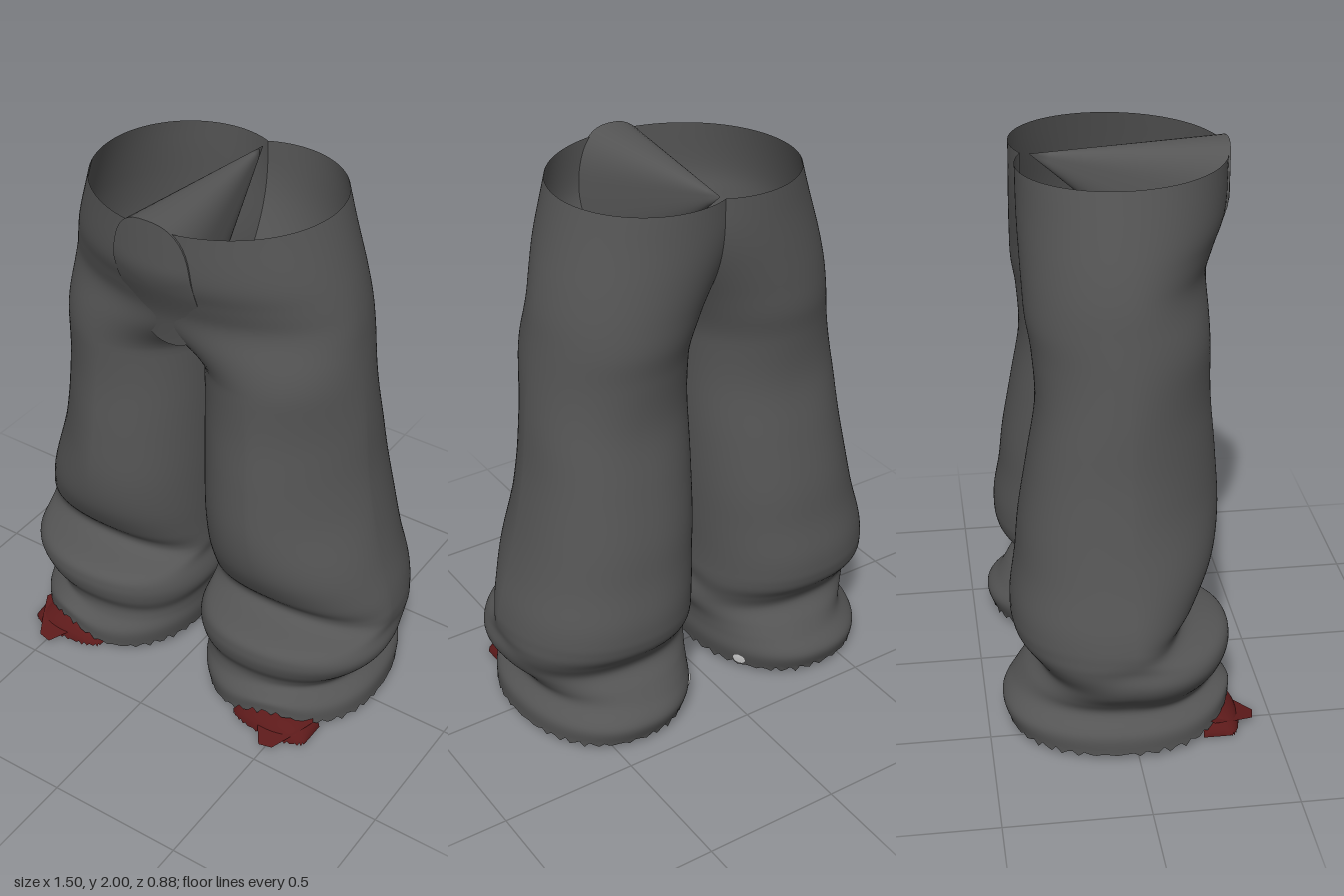
import * as THREE from 'three';
import { mergeVertices } from 'three/addons/utils/BufferGeometryUtils.js';

const cloth = new THREE.MeshStandardMaterial({ name: 'charcoal cloth', color: 0x555555, side: THREE.DoubleSide });
const red = new THREE.MeshStandardMaterial({ name: 'dark red shoe', color: 0x5c1a1a, side: THREE.DoubleSide });
const white = new THREE.MeshStandardMaterial({ name: 'off-white lining', color: 0xe4e4e4, side: THREE.DoubleSide });

// Trouser leg rows: height, inner x, outer x, front z, back z
const ROWS = [
  [1.97, 0, 0.44, 0.384, -0.34],
  [1.8, 0, 0.495, 0.376, -0.34],
  [1.7, 0, 0.525, 0.34, -0.338],
  [1.6, 0, 0.548, 0.304, -0.335],
  [1.5, 0, 0.562, 0.292, -0.33],
  [1.38, 0.004, 0.578, 0.288, -0.312],
  [1.2, 0.012, 0.60, 0.29, -0.305],
  [1.0, 0.015, 0.62, 0.305, -0.34],
  [0.8, 0.018, 0.655, 0.315, -0.375],
  [0.65, 0.022, 0.69, 0.295, -0.39],
  [0.53, 0.026, 0.725, 0.24, -0.408],
  [0.46, 0.026, 0.74, 0.19, -0.41],
  [0.42, 0.024, 0.745, 0.215, -0.405],
  [0.38, 0.022, 0.75, 0.335, -0.39],
  [0.33, 0.02, 0.75, 0.36, -0.35],
  [0.27, 0.025, 0.72, 0.35, -0.32],
  [0.21, 0.045, 0.67, 0.32, -0.365],
  [0.16, 0.05, 0.65, 0.325, -0.40],
  [0.1, 0.05, 0.70, 0.365, -0.44],
  [0.03, 0.065, 0.705, 0.365, -0.42],
];
const spline = (a, b) => new THREE.CatmullRomCurve3(
  ROWS.map((r) => new THREE.Vector3(r[a], r[b], r[0])), false, 'catmullrom', 0.5);
const widths = spline(1, 2);
const depths = spline(3, 4);

const smooth = THREE.MathUtils.smoothstep;
const lerp = THREE.MathUtils.lerp;
const signedPow = (v, e) => Math.sign(v) * Math.abs(v) ** e;

// Smooth sheet from point(u, v) -> [x, y, z]; side = -1 mirrors it across x
function sheet(nu, nv, side, point) {
  const pos = [], index = [];
  for (let j = 0; j <= nv; j++) {
    for (let i = 0; i <= nu; i++) {
      const [x, y, z] = point(i / nu, j / nv);
      pos.push(side * x, y, z);
    }
  }
  for (let j = 0; j < nv; j++) {
    for (let i = 0; i < nu; i++) {
      const a = j * (nu + 1) + i, b = a + nu + 1;
      if (side > 0) index.push(a, b, a + 1, b, b + 1, a + 1);
      else index.push(a, a + 1, b, b, a + 1, b + 1);
    }
  }
  let g = new THREE.BufferGeometry();
  g.setAttribute('position', new THREE.Float32BufferAttribute(pos, 3));
  g.setIndex(index);
  g = mergeVertices(g, 1e-4);
  g.computeVertexNormals();
  return g;
}

// An arc around one side: open at the centre seam above the crotch, a full ring below
function legPoint(t, v) {
  const w = widths.getPoint(v), d = depths.getPoint(v);
  const [inner, outer] = [w.x, w.y];
  let y = w.z;
  const zc = -0.02, isFront = t < 0.5;

  // q = 0 gives half of a waist ellipse, q = 1 a whole leg ellipse
  const q = isFront ? 1 - smooth(y, 1.36, 1.64) : lerp(1, 0.42, smooth(y, 1.38, 1.9));
  const cx = (inner + outer * q) / (1 + q);
  const b = Math.acos(-q) * (1 - 2 * t);
  const c = Math.cos(b), s = Math.sin(b);
  // Front outer corner is slack around the knee, back outer corner is full
  const leg = 1 - smooth(y, 1.1, 1.4);
  const knee = smooth(y, 0.6, 0.9) * (1 - smooth(y, 1.15, 1.5));
  const e = c > 0 ? 1 + (isFront ? 0.25 * knee : -0.12 * leg) : 1 - 0.08 * leg;
  let x = cx + (outer - cx) * signedPow(c, e);
  let z = zc + (isFront ? d.x - zc : zc - d.y) * signedPow(s, e);

  // Soft drape, then a slanted valley and ridge wrapping the ankle
  const drape = 0.01 * Math.sin(3 * b + 3.5 * y) * (1 - smooth(y, 1.0, 1.4));
  const h = y - (0.365 + 0.085 * s);
  const fold = 0.02 * Math.exp(-(((h + 0.1) / 0.05) ** 2)) - 0.04 * Math.exp(-((h / 0.045) ** 2));
  const f = 1 + drape + fold * (1 - s * s) * (s > 0 ? 1 : 1 + s);
  x = cx + (x - cx) * f;
  z = zc + (z - zc) * f;

  // Folds sag unevenly towards both sides of the shin
  if (s > 0) y -= 0.05 * s * c * c * smooth(y, 0.1, 0.25) * (1 - smooth(y, 0.5, 0.75));

  // Hem arches over the shoe and ends in a ragged edge
  if (s > 0) {
    const arch = Math.exp(-(((x - 0.46) / 0.13) ** 2)) * smooth(s, 0.3, 0.7);
    y += 0.06 * arch * (1 - smooth(y, 0.03, 0.2));
  }
  if (v === 1) y += 0.008 * Math.sin(t * 251) + 0.006 * Math.sin(t * 417);
  return [Math.max(0, x), y, z];
}

// Small round patch lying on the back of the hem
function hemPatchPoint(u, r) {
  const a = 2 * Math.PI * u;
  const [x, y, z] = legPoint(0.897 + 0.012 * r * Math.cos(a), 0.972 + 0.02 * r * Math.sin(a));
  return [x - 0.006, y, z - 0.006];
}

// Fly panel: rounded outline lying flush on the curved front
const flyZ = (x, y) => 0.278 + 0.018 * smooth(y, 1.46, 1.58) + 0.094 * smooth(y, 1.54, 1.84) - x * x;
function flyPoint(u, r) {
  const a = -2 * Math.PI * u, sn = Math.sin(a);
  const x = 0.15 * r * signedPow(Math.cos(a), 0.8);
  const y = 1.74 + r * (sn > 0 ? 0.258 * sn ** 0.7 : 0.26 * sn);
  return [x, y, flyZ(x, y)];
}
const APEX = [0, 1.965, -0.28];

// Sole outline in x and z, rising from the toe tip towards the heel
const SOLE = [[0.11, -0.13], [0.135, 0], [0.21, 0.075], [0.38, 0.1], [0.54, 0.17], [0.61, 0.28],
  [0.57, 0.36], [0.53, 0.43], [0.48, 0.44], [0.43, 0.37], [0.33, 0.3], [0.27, 0.2],
  [0.29, 0.125], [0.2, 0.1], [0.122, 0.01]];
function soleGeometry(side) {
  const shape = new THREE.Shape(SOLE.map(([x, z]) => new THREE.Vector2(side * x, z)));
  const g = new THREE.ShapeGeometry(shape).rotateX(Math.PI / 2);
  const p = g.attributes.position;
  for (let i = 0; i < p.count; i++) p.setY(i, 0.015 + 0.3 * (0.44 - p.getZ(i)));
  g.computeVertexNormals();
  return g;
}

const curve = (points) => new THREE.CatmullRomCurve3(points.map((p) => new THREE.Vector3(...p)));
const LINING_LOW = curve([[0.115, 0.07, -0.12], [0.135, 0.05, 0.01], [0.21, 0.035, 0.1], [0.32, 0.035, 0.15]]);
const LINING_HIGH = curve([[0.105, 0.25, -0.1], [0.115, 0.32, 0.06], [0.17, 0.24, 0.17], [0.29, 0.11, 0.2]]);

export function createModel() {
  const model = new THREE.Group();
  model.name = 'trousers';
  const add = (parent, name, geometry, material) => {
    const m = new THREE.Mesh(geometry, material);
    m.name = name;
    parent.add(m);
  };

  for (const [label, side] of [['left', 1], ['right', -1]]) {
    const leg = new THREE.Group();
    leg.name = label + 'Side';
    model.add(leg);
    add(leg, label + 'TrouserLeg', sheet(112, 120, side, legPoint), cloth);
    add(leg, label + 'ShoeSole', soleGeometry(side), red);

    // Low toe cap showing under the hem, open towards the heel
    add(leg, label + 'ShoeToe', sheet(36, 8, side, (u, v) => {
      const h = Math.sin(Math.PI * u);
      const rag = v === 1 ? 0.008 * Math.sin(u * 97) : 0;
      return [0.46 - 0.155 * Math.cos(Math.PI * u),
        0.01 + 0.08 * h * Math.cos(v * Math.PI / 2) + rag,
        0.24 + 0.145 * Math.sin(v * Math.PI / 2) * (0.65 + 0.35 * h)];
    }), red);

    // Steep lining inside the cuff, and a small patch at the back of the hem
    add(leg, label + 'CuffLining', sheet(20, 4, side, (u, v) =>
      LINING_HIGH.getPoint(u).lerp(LINING_LOW.getPoint(u), v).toArray()), white);
    add(leg, label + 'HemPatch', sheet(12, 2, side, hemPatchPoint), white);
  }

  // Fly panel and the tapered fold running from it to the back seam
  add(model, 'flyPanel', sheet(48, 12, -1, flyPoint), cloth);
  add(model, 'innerFold', sheet(48, 10, 1, (u, v) => {
    const p = flyPoint(u, 1);
    return p.map((c, i) => lerp(APEX[i], c, v));
  }), cloth);
  return model;
}
